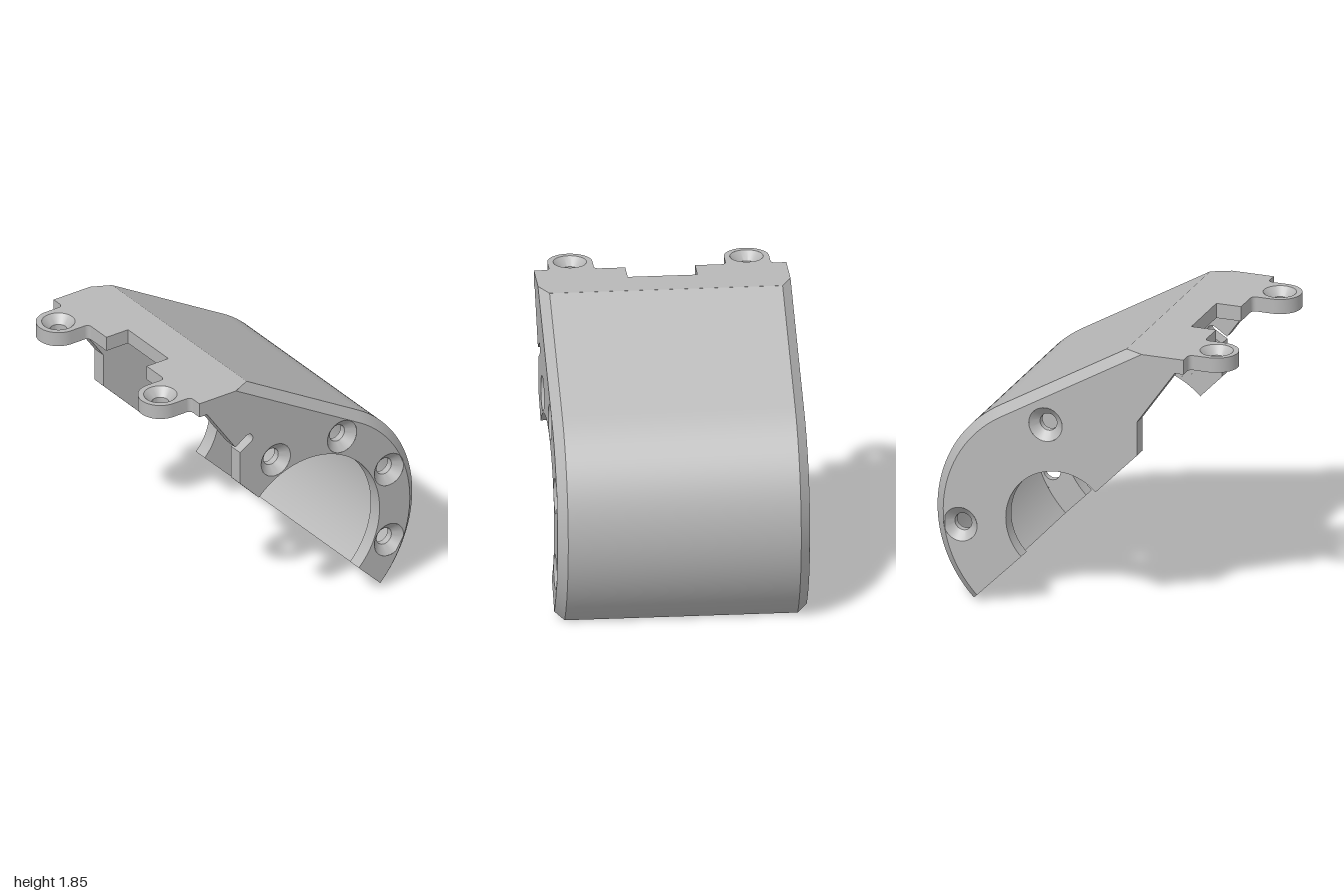
import * as THREE from 'three';
import { toCreasedNormals } from 'three/addons/utils/BufferGeometryUtils.js';

const CX = 0.14, CY = 0.605;          // centre of the round end
const R = 0.855, T = 0.1;             // outer radius, wall thickness
const TOP = 1.85, CHAMFER = 0.063;
const Z = 0.815, ZC = 0.752;          // outer face, start of chamfer
const SINK = 0.115, BORE = 0.058;     // countersunk hole radii
const RAD = Math.PI / 180;

const polar = (r, deg, x = CX, y = CY) =>
  new THREE.Vector2(x + r * Math.cos(deg * RAD), y + r * Math.sin(deg * RAD));

function arc(r, from, to, n, x, y) {
  return Array.from({ length: n + 1 }, (_, i) => polar(r, from + (to - from) * i / n, x, y));
}

// Outline inset by d: 30 degree slope from the top, then the arc down to the cut
function outerPath(d, top) {
  const r = R - d, tangent = polar(r, 60);
  const t = (top - tangent.y) / 0.5;
  return [new THREE.Vector2(tangent.x - t * Math.cos(30 * RAD), top), ...arc(r, 60, -45, 48)];
}

function extrude(points, depth, holes = [], radius = SINK) {
  const shape = new THREE.Shape(points);
  for (const h of holes) shape.holes.push(new THREE.Path().absarc(h.x, h.y, radius, 0, Math.PI * 2, true));
  return new THREE.ExtrudeGeometry(shape, { depth, bevelEnabled: false, curveSegments: 40 });
}

// Ring that fills a wide hole down to a countersunk bore, opening towards +y
function countersink(outer, bore) {
  const h = T / 2;
  const p = [[outer, h], [bore, h - 0.055], [bore, -h], [outer, -h]];
  return new THREE.LatheGeometry(p.map(([x, y]) => new THREE.Vector2(x, y)), 40);
}

// Sloped band between the shell and an end plate
function chamferBand(s) {
  const a = outerPath(0, TOP), b = outerPath(CHAMFER, TOP), pos = [];
  const tri = (...v) => (s > 0 ? v : v.reverse()).forEach(([p, z]) => pos.push(p.x, p.y, z * s));
  const last = a.length - 1;
  for (let i = 0; i < last; i++) {
    tri([a[i], ZC], [b[i], Z], [b[i + 1], Z]);
    tri([a[i], ZC], [b[i + 1], Z], [a[i + 1], ZC]);
  }
  tri([a[last], ZC], [b[last], Z], [b[last], ZC]);
  const g = new THREE.BufferGeometry();
  g.setAttribute('position', new THREE.Float32BufferAttribute(pos, 3));
  return g;
}

export function createModel() {
  const model = new THREE.Group();
  model.name = 'bracketCover';
  const grey = new THREE.MeshStandardMaterial({ color: 0xb8b8b8 });
  grey.name = 'grey';
  const v = (x, y) => new THREE.Vector2(x, y);

  function add(name, geometry, x = 0, y = 0, z = 0) {
    const mesh = new THREE.Mesh(toCreasedNormals(geometry, 0.4), grey);
    mesh.name = name;
    mesh.position.set(x, y, z);
    model.add(mesh);
  }

  // Curved shell
  const wall = [...outerPath(0, TOP), ...outerPath(T, TOP - T).reverse()];
  add('shell', extrude(wall, ZC * 2), 0, 0, -ZC);

  // End plates: the front has a wide mouth, a slot and four holes; the back has two holes
  const slot = [v(-0.4, 1.38), ...arc(0.035, -55, 125, 10, -0.335, 1.46), v(-0.437, 1.432)];
  const plates = [
    { name: 'front', s: 1, mouth: 0.555, angles: [112.5, 67.5, 22.5, -22.5], edge: slot },
    { name: 'back', s: -1, mouth: 0.362, angles: [82.5, -7.5], edge: [v(-0.4, 1.38)] },
  ];
  for (const { name, s, mouth, angles, edge } of plates) {
    const outline = [
      ...outerPath(CHAMFER, TOP), ...arc(mouth, -45, 135, 48),
      v(-0.4, 1.15), ...edge, v(-0.66, TOP - T), v(-0.66, TOP),
    ];
    const holes = angles.map((a) => polar(0.68, a));
    add(name + 'Plate', extrude(outline, T, holes), 0, 0, s > 0 ? Z - T : -Z);
    for (const h of holes) {
      add(name + 'Countersink', countersink(SINK, BORE).rotateX(s * Math.PI / 2), h.x, h.y, s * (Z - T / 2));
    }
    add(name + 'Chamfer', chamferBand(s));
  }

  // Top plate with two rounded ears and a rectangular notch
  const earX = -0.855, earZ = 0.57;
  const half = [
    v(-0.305, ZC), v(-0.435, Z), v(-0.72, Z),
    ...arc(0.03, 0, -90, 6, -0.75, 0.745),
    ...arc(0.145, 90, 270, 28, earX, earZ),
    ...arc(0.03, 90, 0, 6, -0.75, 0.395),
    v(-0.72, 0.225), v(-0.55, 0.225),
  ];
  const plan = [...half, ...half.map((p) => v(p.x, -p.y)).reverse()];
  const earHoles = [v(earX, earZ), v(earX, -earZ)];
  add('topPlate', extrude(plan, T, earHoles, 0.108).rotateX(-Math.PI / 2), 0, TOP - T, 0);
  for (const h of earHoles) add('earCountersink', countersink(0.108, 0.055), h.x, TOP - T / 2, h.y);

  return model;
}
